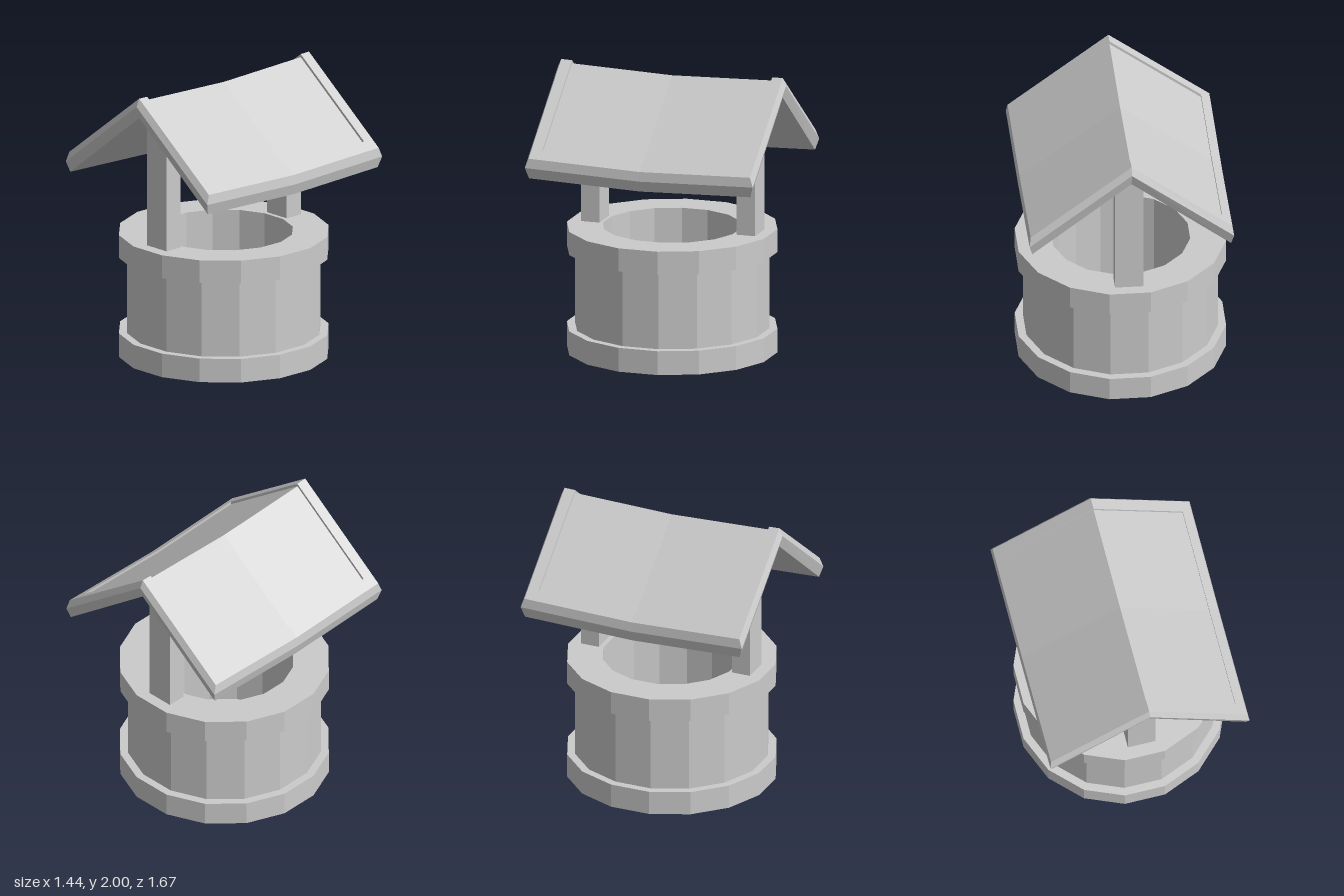
import * as THREE from 'three';

const material = new THREE.MeshStandardMaterial({ color: 0xcccccc, flatShading: true });

function addMesh(parent, name, geometry) {
  const mesh = new THREE.Mesh(geometry, material);
  mesh.name = name;
  parent.add(mesh);
  return mesh;
}

// Sixteen-sided ring section with flat faces towards the axes
function lathe(profile) {
  const points = profile.map(([r, y]) => new THREE.Vector2(r, y));
  return new THREE.LatheGeometry(points, 16, Math.PI / 16);
}

// Gabled, sagging slab: each ring is [half width, half length, ridge height, slope]
function roofGeometry(rings) {
  const outline = [[1, 1], [1, 0], [1, -1], [0, -1], [-1, -1], [-1, 0], [-1, 1], [0, 1]];
  const sag = 0.033;
  const loops = rings.map(([w, l, ridge, slope]) => outline.map(([sx, sz]) =>
    [sx * w, ridge - slope * Math.abs(sx * w) + sag * Math.abs(sz * l), sz * l]));
  const positions = [];
  for (let r = 0; r < loops.length - 1; r++) {
    const a = loops[r], b = loops[r + 1];
    for (let i = 0; i < outline.length; i++) {
      const j = (i + 1) % outline.length;
      if (rings[r + 1][0] > 0) positions.push(...a[i], ...b[i], ...b[j]);
      if (rings[r][0] > 0) positions.push(...a[i], ...b[j], ...a[j]);
    }
  }
  const geometry = new THREE.BufferGeometry();
  geometry.setAttribute('position', new THREE.Float32BufferAttribute(positions, 3));
  geometry.computeVertexNormals();
  return geometry;
}

export function createModel() {
  const model = new THREE.Group();
  model.name = 'well';

  // Stone well: foot ring, wall, rim and hollow shaft
  const outer = 0.734, wall = 0.678, inner = 0.484;
  addMesh(model, 'footRing', lathe([[0, 0], [outer, 0], [outer, 0.17], [wall, 0.17]]));
  addMesh(model, 'wall', lathe([[wall, 0.17], [wall, 0.715]]));
  addMesh(model, 'rim', lathe([[wall, 0.715], [outer, 0.715], [outer, 0.88], [inner, 0.88]]));
  addMesh(model, 'shaft', lathe([[inner, 0.88], [inner, 0.17], [0, 0.17]]));

  // Posts with tops cut to the roof pitch
  const postShape = new THREE.Shape([[-0.1, 0.88], [0.097, 0.88], [0.097, 1.78], [0, 1.855], [-0.1, 1.78]]
    .map(([x, y]) => new THREE.Vector2(x, y)));
  const postGeometry = new THREE.ExtrudeGeometry(postShape, { depth: 0.135, bevelEnabled: false });
  addMesh(model, 'frontPost', postGeometry).position.z = 0.498;
  addMesh(model, 'backPost', postGeometry).position.z = -0.64;

  // Roof: recessed panel, raised border, bulging edge and underside
  const roof = addMesh(model, 'roof', roofGeometry([
    [0, 0, 1.951, 0.771],
    [0.635, 0.73, 1.951, 0.771],
    [0.635, 0.73, 1.973, 0.771],
    [0.7, 0.808, 1.973, 0.771],
    [0.71, 0.832, 1.917, 0.775],
    [0.69, 0.808, 1.833, 0.785],
    [0, 0, 1.833, 0.785],
  ]));
  roof.position.x = 0.003;
  roof.rotation.y = 0.006;

  return model;
}
